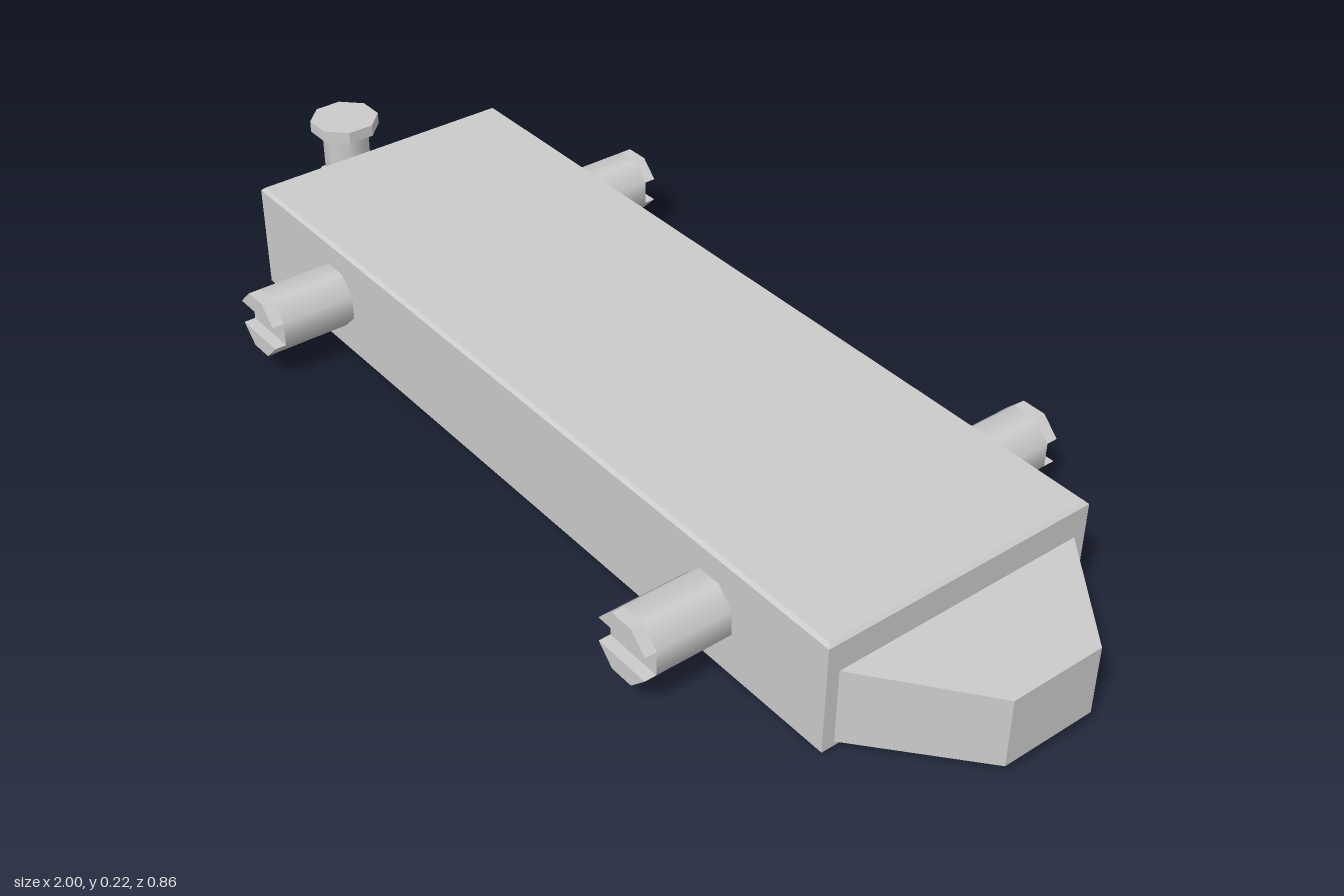
import * as THREE from 'three';

const grey = new THREE.MeshStandardMaterial({ color: 0xcccccc });
const flat = new THREE.MeshStandardMaterial({ color: 0xcccccc, flatShading: true });

function add(parent, name, geometry, material = flat) {
  const mesh = new THREE.Mesh(geometry, material);
  mesh.name = name;
  parent.add(mesh);
  return mesh;
}

// Joins successive rings of [x, y, z] points and closes both ends.
// Rings run anticlockwise seen from above.
function loft(rings) {
  const n = rings[0].length, pos = [];
  const tri = (a, b, c) => pos.push(...a, ...b, ...c);
  for (let r = 0; r + 1 < rings.length; r++) {
    const a = rings[r], b = rings[r + 1];
    for (let i = 0; i < n; i++) {
      const j = (i + 1) % n;
      tri(a[i], a[j], b[j]);
      tri(a[i], b[j], b[i]);
    }
  }
  const first = rings[0], last = rings[rings.length - 1];
  for (let i = 1; i + 1 < n; i++) {
    tri(first[0], first[i + 1], first[i]);
    tri(last[0], last[i], last[i + 1]);
  }
  const g = new THREE.BufferGeometry();
  g.setAttribute('position', new THREE.Float32BufferAttribute(pos, 3));
  g.computeVertexNormals();
  return g;
}

// Rectangular ring of the body, inset from its outer outline
function bodyRing([inset, y]) {
  const x0 = -0.8 + inset, x1 = 0.805 - inset, z = 0.267 - inset;
  return [[x1, y, z], [x1, y, -z], [x0, y, -z], [x0, y, z]];
}

// Flat-topped plate whose underside height varies: outline points are [x, z, underside y]
function plate(outline, top) {
  return loft([
    outline.map(([x, z, y]) => [x, y, z]),
    outline.map(([x, z]) => [x, top, z]),
  ]);
}

// Eight-sided axle stub along +z, with a slot across its end
function makeAxle() {
  const axle = new THREE.Group();
  const apothem = 0.056, half = apothem * Math.tan(Math.PI / 8);
  const radius = apothem / Math.cos(Math.PI / 8);
  const shaft = new THREE.CylinderGeometry(radius, radius, 0.147, 8);
  shaft.rotateY(Math.PI / 8).rotateX(Math.PI / 2).translate(0, 0, 0.3365);
  add(axle, 'axleShaft', shaft, grey);

  const lip = new THREE.Shape([
    new THREE.Vector2(-apothem, half), new THREE.Vector2(apothem, half),
    new THREE.Vector2(half, apothem), new THREE.Vector2(-half, apothem),
  ]);
  for (const turn of [0, Math.PI]) {
    const g = new THREE.ExtrudeGeometry(lip, { depth: 0.022, bevelEnabled: false });
    g.rotateZ(turn).translate(0, 0, 0.41);
    add(axle, 'axleLip', g);
  }
  return axle;
}

export function createModel() {
  const model = new THREE.Group();
  model.name = 'wagonChassis';

  // Body: hollow underneath, small chamfers outside
  const bevel = 0.006;
  add(model, 'body', loft([
    [0.045, 0.107], [0.045, 0], [bevel, 0], [0, bevel],
    [0, 0.215 - bevel], [bevel, 0.215],
  ].map(bodyRing)));

  // Tapered nose
  add(model, 'nose', plate([
    [1, 0.09, 0.026], [1, -0.09, 0.026], [0.8, -0.247, 0.014], [0.8, 0.247, 0.014],
  ], 0.155));

  // Hitch: tongue, post and eight-sided head
  const hitch = new THREE.Group();
  hitch.name = 'hitch';
  add(hitch, 'hitchTongue', plate([
    [-0.795, 0.14, 0.014], [-0.795, -0.14, 0.014], [-0.964, -0.064, 0.025],
    [-1, -0.027, 0.027], [-1, 0.027, 0.027], [-0.964, 0.064, 0.025],
  ], 0.087));
  const post = new THREE.CylinderGeometry(0.046, 0.046, 0.115, 8);
  post.rotateY(Math.PI / 8).translate(-0.937, 0.1425, 0);
  add(hitch, 'hitchPost', post, grey);
  const head = new THREE.CylinderGeometry(0.068, 0.068, 0.023, 8);
  head.rotateY(Math.PI / 8).translate(-0.937, 0.207, 0);
  add(hitch, 'hitchHead', head);
  model.add(hitch);

  // Four axle stubs
  for (const x of [-0.538, 0.54]) {
    for (const [side, turn] of [['front', 0], ['back', Math.PI]]) {
      const axle = makeAxle();
      axle.name = side + 'Axle';
      axle.position.set(x, 0.109, 0);
      axle.rotation.y = turn;
      model.add(axle);
    }
  }
  return model;
}
